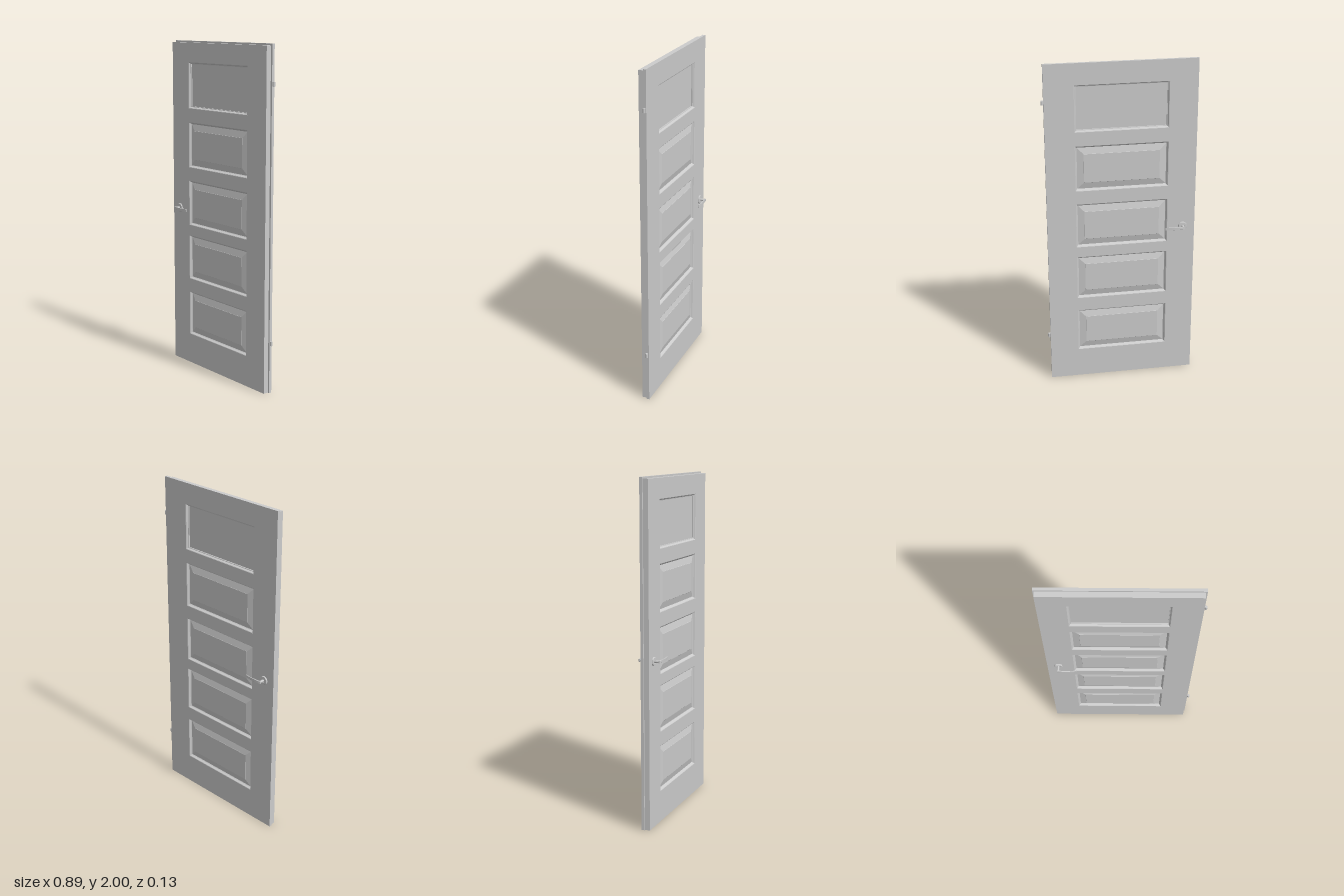
import * as THREE from 'three';
import { toCreasedNormals } from 'three/addons/utils/BufferGeometryUtils.js';

const grey = new THREE.MeshStandardMaterial({ color: 0xcccccc });
const MID = -0.002;   // middle of the door's thickness
const HALF = 0.024;   // half the thickness

// Openings: left, right, height and the top edge of each
const X0 = -0.283, X1 = 0.262, PANEL_H = 0.275;
const PANEL_TOPS = [1.875, 1.517, 1.16, 0.82, 0.461];

function part(name, geometry, parent) {
  const mesh = new THREE.Mesh(geometry, grey);
  mesh.name = name;
  parent.add(mesh);
  return mesh;
}

function rectangle(PathType, x0, y0, x1, y1) {
  const path = new PathType();
  path.moveTo(x0, y0).lineTo(x1, y0).lineTo(x1, y1).lineTo(x0, y1).closePath();
  return path;
}

// Slab with the five openings cut through
function slab(x0, x1, top, z0, z1) {
  const shape = rectangle(THREE.Shape, x0, 0, x1, top);
  for (const t of PANEL_TOPS) shape.holes.push(rectangle(THREE.Path, X0, t - PANEL_H, X1, t));
  return new THREE.ExtrudeGeometry(shape, { depth: z1 - z0, bevelEnabled: false }).translate(0, 0, z0);
}

// Rectangular rings given as [inset, z], joined from the outside in and capped
function ringedPanel(w, h, rings) {
  const corners = ([inset, z]) => {
    const a = w / 2 - inset, b = h / 2 - inset;
    return [[-a, -b, z], [a, -b, z], [a, b, z], [-a, b, z]];
  };
  const pos = [];
  const quad = (a, b, c, d) => pos.push(...a, ...b, ...c, ...a, ...c, ...d);
  for (let i = 0; i < rings.length - 1; i++) {
    const outer = corners(rings[i]), inner = corners(rings[i + 1]);
    for (let k = 0; k < 4; k++) {
      const n = (k + 1) % 4;
      quad(outer[k], outer[n], inner[n], inner[k]);
    }
  }
  quad(...corners(rings[rings.length - 1]));
  const geometry = new THREE.BufferGeometry();
  geometry.setAttribute('position', new THREE.Float32BufferAttribute(pos, 3));
  geometry.computeVertexNormals();
  return geometry;
}

// Gently bowed lever, outlined in x and z and given its height in y
function leverGeometry() {
  const s = new THREE.Shape();
  s.moveTo(-0.007, 0.058);
  s.lineTo(0.005, 0.058);
  s.quadraticCurveTo(0.06, 0.064, 0.111, 0.056);
  s.lineTo(0.111, 0.0605);
  s.quadraticCurveTo(0.06, 0.0705, 0.004, 0.065);
  s.lineTo(-0.005, 0.065);
  s.quadraticCurveTo(-0.007, 0.065, -0.007, 0.063);
  const g = new THREE.ExtrudeGeometry(s, {
    depth: 0.012, bevelEnabled: true, bevelThickness: 0.002, bevelSize: 0.001,
    bevelOffset: -0.001, bevelSegments: 2, curveSegments: 12,
  });
  return toCreasedNormals(g.translate(0, 0, -0.006).rotateX(Math.PI / 2), 0.6);
}

// Handle set for one face, built about its own spindle
function handle(name) {
  const group = new THREE.Group();
  group.name = name;
  const profile = [[0, 0.018], [0.026, 0.018], [0.026, 0.029], [0.024, 0.0315],
    [0.013, 0.032], [0.0125, 0.0305], [0, 0.0305]].map(([r, y]) => new THREE.Vector2(r, y));
  const rose = toCreasedNormals(new THREE.LatheGeometry(profile, 32).rotateX(Math.PI / 2), 0.6);
  part('rosette', rose, group);
  part('handleStem', new THREE.CylinderGeometry(0.007, 0.007, 0.036, 20)
    .rotateX(Math.PI / 2).translate(0, 0, 0.044), group);
  part('lever', leverGeometry(), group);
  return group;
}

export function createModel() {
  const door = new THREE.Group();
  door.name = 'door';

  // Leaf in two layers; the back one overlaps as a rebate lip
  part('doorLeaf', slab(-0.44, 0.421, 1.99, -0.009, MID + HALF), door);
  part('rebateLip', slab(-0.448, 0.432, 2, MID - HALF, -0.009), door);

  // Both faces: the back repeats the front turned half round the x axis
  const flat = [[0, HALF], [0.003, 0.0225], [0.008, 0.013], [0.012, 0.012], [0.012, 0.005]];
  const raised = [[0, HALF], [0.003, 0.0225], [0.008, 0.013], [0.012, 0.009],
    [0.05, 0.0185], [0.051, 0.0195]];
  for (const [side, turn] of [['front', 0], ['back', Math.PI]]) {
    PANEL_TOPS.forEach((top, i) => {
      const panel = part(side + (i ? 'RaisedPanel' : 'FlatPanel'),
        ringedPanel(X1 - X0, PANEL_H, i ? raised : flat), door);
      panel.position.set((X0 + X1) / 2, top - PANEL_H / 2, MID);
      panel.rotation.x = turn;
    });
    const set = handle(side + 'Handle');
    set.position.set(-0.376, 0.98, MID);
    set.rotation.x = turn;
    door.add(set);
  }

  // Hinge knuckles on the left edge
  for (const y of [0.3, 1.78]) {
    const hinge = new THREE.Group();
    hinge.name = 'hinge';
    hinge.position.set(0.4395, y, -0.016);
    part('hingeKnuckle', new THREE.CylinderGeometry(0.0075, 0.0075, 0.025, 16), hinge);
    part('hingePin', new THREE.BoxGeometry(0.014, 0.012, 0.006).translate(-0.007, 0, 0), hinge);
    door.add(hinge);
  }
  return door;
}
